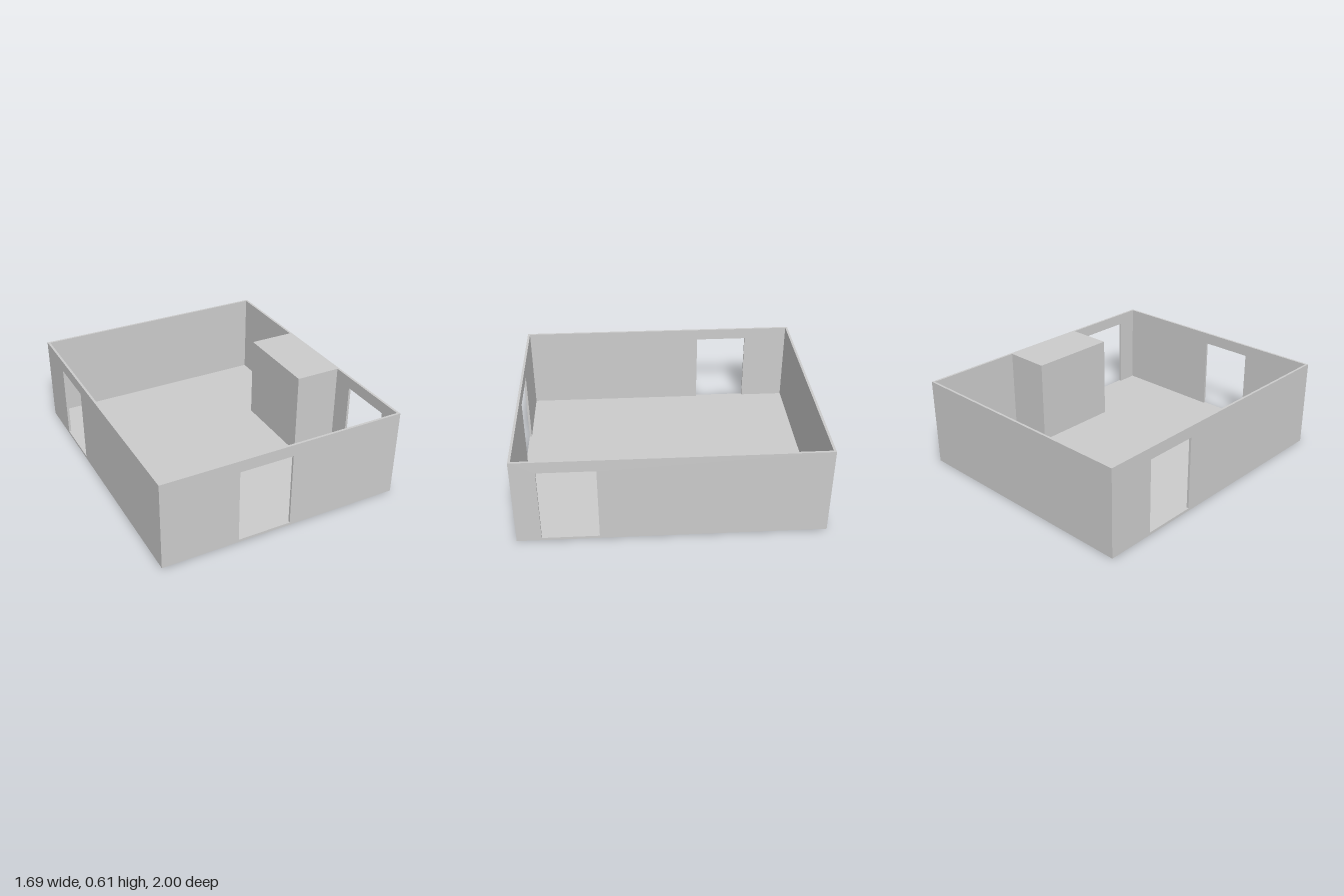
import * as THREE from 'three';

const W = 1.69, D = 2, H = 0.61, T = 0.016; // room width, depth, height, wall thickness
const DOOR_BOTTOM = 0.018, DOOR_TOP = 0.53;

const material = new THREE.MeshStandardMaterial({ color: 0xcccccc, flatShading: true });

function rectangle(PathType, x0, x1, y0, y1) {
  const path = new PathType();
  path.moveTo(x0, y0);
  path.lineTo(x1, y0);
  path.lineTo(x1, y1);
  path.lineTo(x0, y1);
  path.closePath();
  return path;
}

// Upright wall panel, centred on its length, with an optional doorway [from, to]
function wall(name, length, doorway) {
  const shape = rectangle(THREE.Shape, -length / 2, length / 2, 0, H);
  if (doorway) shape.holes.push(rectangle(THREE.Path, doorway[0], doorway[1], DOOR_BOTTOM, DOOR_TOP));
  const geometry = new THREE.ExtrudeGeometry(shape, { depth: T, bevelEnabled: false });
  const mesh = new THREE.Mesh(geometry, material);
  mesh.name = name;
  return mesh;
}

// Box given by its lower and upper corners
function box(name, [x0, y0, z0], [x1, y1, z1]) {
  const mesh = new THREE.Mesh(new THREE.BoxGeometry(x1 - x0, y1 - y0, z1 - z0), material);
  mesh.position.set((x0 + x1) / 2, (y0 + y1) / 2, (z0 + z1) / 2);
  mesh.name = name;
  return mesh;
}

export function createModel() {
  const room = new THREE.Group();
  room.name = 'room';
  const inX = W / 2 - T, inZ = D / 2 - T;

  // Front and back walls run the full width
  const front = wall('frontWall', W, [-0.32, 0.05]);
  front.position.z = inZ;
  const back = wall('backWall', W);
  back.position.z = -D / 2;

  // Side walls fit between them; their length runs along -z
  const left = wall('leftWall', D - 2 * T, [-0.84, -0.47]);
  left.position.x = inX;
  const right = wall('rightWall', D - 2 * T, [0.3, 0.67]);
  right.position.x = -W / 2;
  for (const side of [left, right]) side.rotation.y = Math.PI / 2;

  // Floor slab and the full-height closet block against the left wall
  const floor = box('floor', [-inX, 0, -inZ], [inX, DOOR_BOTTOM, inZ]);
  const closet = box('closetBlock', [0.51, DOOR_BOTTOM, -0.31], [inX, H, 0.32]);

  room.add(front, back, left, right, floor, closet);
  return room;
}
